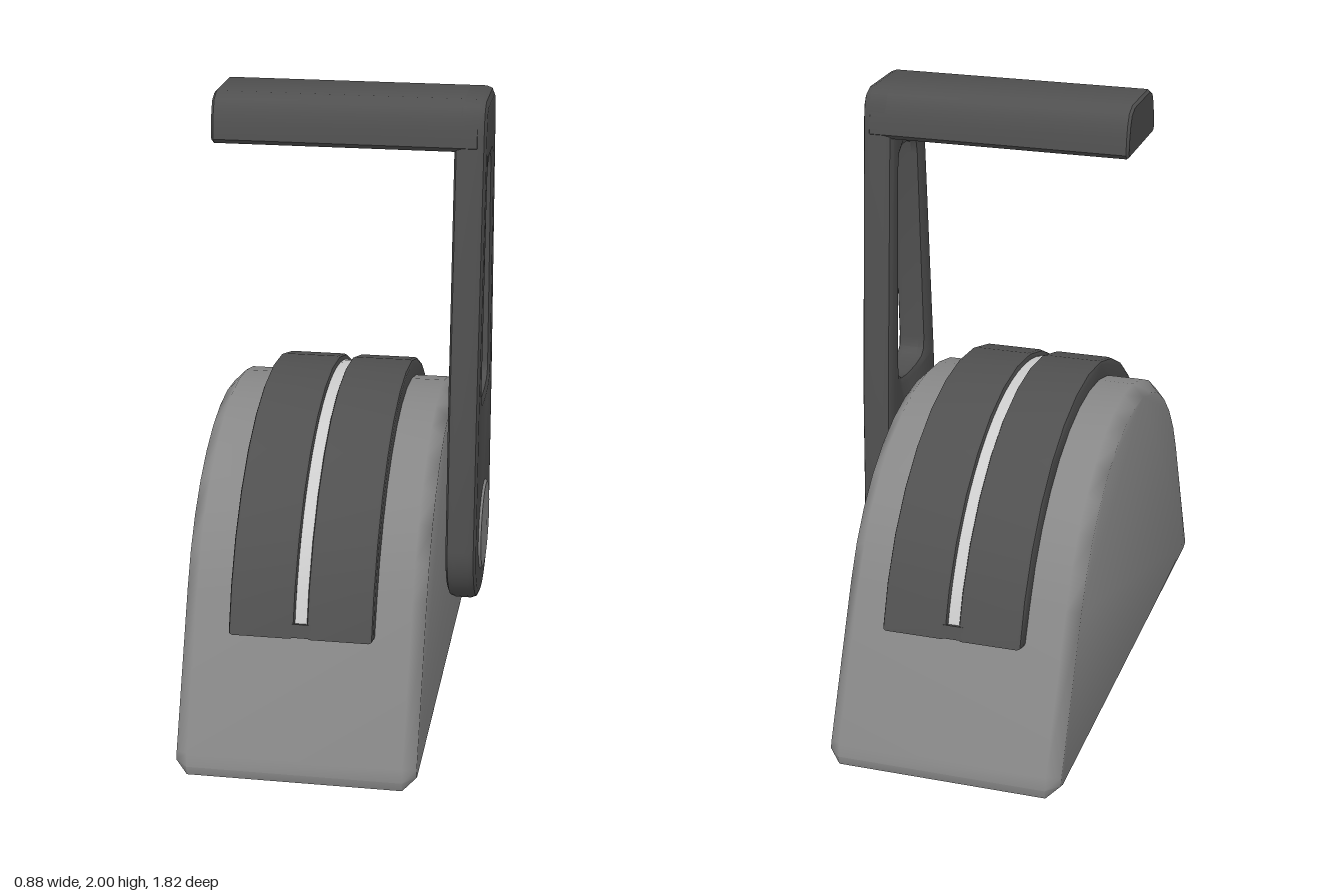
import * as THREE from 'three';
import { toCreasedNormals } from 'three/addons/utils/BufferGeometryUtils.js';

const material = (color) => new THREE.MeshStandardMaterial({ color });
const housingGrey = material(0x8a8a8a);
const darkGrey = material(0x505050);
const lightGrey = material(0xcccccc);

// Points [z, y] of an arc, angles in degrees
function arc(cy, r, from, to, steps) {
  return Array.from({ length: steps + 1 }, (_, i) => {
    const a = THREE.MathUtils.degToRad(from + (to - from) * i / steps);
    return [r * Math.cos(a), cy + r * Math.sin(a)];
  });
}

// Closes a right-hand outline with its mirror image
const mirrored = (half) => [...half, ...half.map(([z, y]) => [-z, y]).reverse()];
const vectors = (points) => points.map(([z, y]) => new THREE.Vector2(z, y));

// Extrudes a side profile across the model from x0 to x1, bevel included in the size
function sideExtrude(name, points, x0, x1, bevel, mat, { segments = 2, hole, crease = 0.7 } = {}) {
  const shape = new THREE.Shape(vectors(points));
  if (hole) shape.holes.push(new THREE.Path(vectors(hole)));
  const geometry = new THREE.ExtrudeGeometry(shape, {
    depth: x1 - x0 - 2 * bevel,
    bevelEnabled: bevel > 0,
    bevelThickness: bevel,
    bevelSize: bevel,
    bevelOffset: -bevel,
    bevelSegments: segments,
  });
  geometry.rotateY(Math.PI / 2);
  geometry.translate(x0 + bevel, 0, 0);
  const mesh = new THREE.Mesh(toCreasedNormals(geometry, crease), mat);
  mesh.name = name;
  return mesh;
}

// Band between two radii around the quadrant centre
const ARC_Y = 0.25;
const band = (inner, outer, from, to, steps) => [
  ...arc(ARC_Y, outer, from, to, steps),
  ...arc(ARC_Y, inner, to, from, steps),
];

// Disc facing +x on the lever pivot
function pivotDisc(name, profile, x, mat) {
  const geometry = new THREE.LatheGeometry(vectors(profile), 32);
  geometry.rotateZ(-Math.PI / 2);
  const mesh = new THREE.Mesh(toCreasedNormals(geometry, 0.6), mat);
  mesh.position.set(x, 0.53, 0);
  mesh.name = name;
  return mesh;
}

export function createModel() {
  const model = new THREE.Group();
  model.name = 'controlLever';

  // Housing: sloped ends running into a round top
  const housing = [
    [0.85, 0], [0.9, 0.018], [0.91, 0.05], [0.897, 0.09],
    ...arc(ARC_Y, 0.75, 24, 156, 14),
    [-0.897, 0.09], [-0.91, 0.05], [-0.9, 0.018], [-0.85, 0],
  ];
  model.add(sideExtrude('housing', housing, -0.44, 0.315, 0.04, housingGrey, { segments: 1, crease: 0.9 }));

  // Curved cover: two halves with a slot between, closed at both ends
  const cover = new THREE.Group();
  cover.name = 'cover';
  const coverBand = band(0.71, 0.81, 14.5, 165.5, 14);
  cover.add(sideExtrude('coverRight', coverBand, -0.285, -0.08, 0.012, darkGrey));
  cover.add(sideExtrude('coverLeft', coverBand, -0.042, 0.165, 0.012, darkGrey));
  for (const [name, from] of [['slotEndFront', 14.7], ['slotEndBack', 162.3]]) {
    cover.add(sideExtrude(name, band(0.72, 0.808, from, from + 3, 1), -0.095, -0.027, 0, darkGrey));
  }
  model.add(cover);

  // Light strip lying in the slot
  model.add(sideExtrude('slotStrip', band(0.72, 0.79, 16.5, 163.5, 28), -0.085, -0.037, 0, lightGrey));

  // Lever arm: round foot, tapered sides, long opening
  const lever = new THREE.Group();
  lever.name = 'lever';
  const arm = mirrored([
    ...arc(0.53, 0.25, -90, 0, 12).slice(1),
    [0.235, 1], [0.165, 1.9], [0.157, 1.95], [0.14, 1.982], [0.1, 2],
  ]);
  arm.push([0, 0.28]);
  const opening = mirrored([
    [0.04, 1.01], [0.1, 1.018], [0.119, 1.035], [0.124, 1.07],
    [0.087, 1.73], [0.078, 1.77], [0.05, 1.79],
  ]);
  lever.add(sideExtrude('arm', arm, 0.325, 0.425, 0.025, darkGrey, { hole: opening }));

  // Handle: flat underside, rounded top edges
  const grip = mirrored([
    [0.155, 1.845], [0.17, 1.86], [0.165, 1.91], [0.155, 1.95], [0.138, 1.982], [0.1, 2],
  ]);
  lever.add(sideExtrude('handle', grip, -0.44, 0.405, 0.008, darkGrey, { segments: 1 }));
  model.add(lever);

  // Pivot: axle behind the arm and cap in front
  model.add(pivotDisc('axle', [[0.13, 0], [0.13, 0.06]], 0.29, darkGrey));
  model.add(pivotDisc('pivotCap', [[0.152, 0], [0.152, 0.024], [0.143, 0.033], [0, 0.037]], 0.4, housingGrey));

  return model;
}
